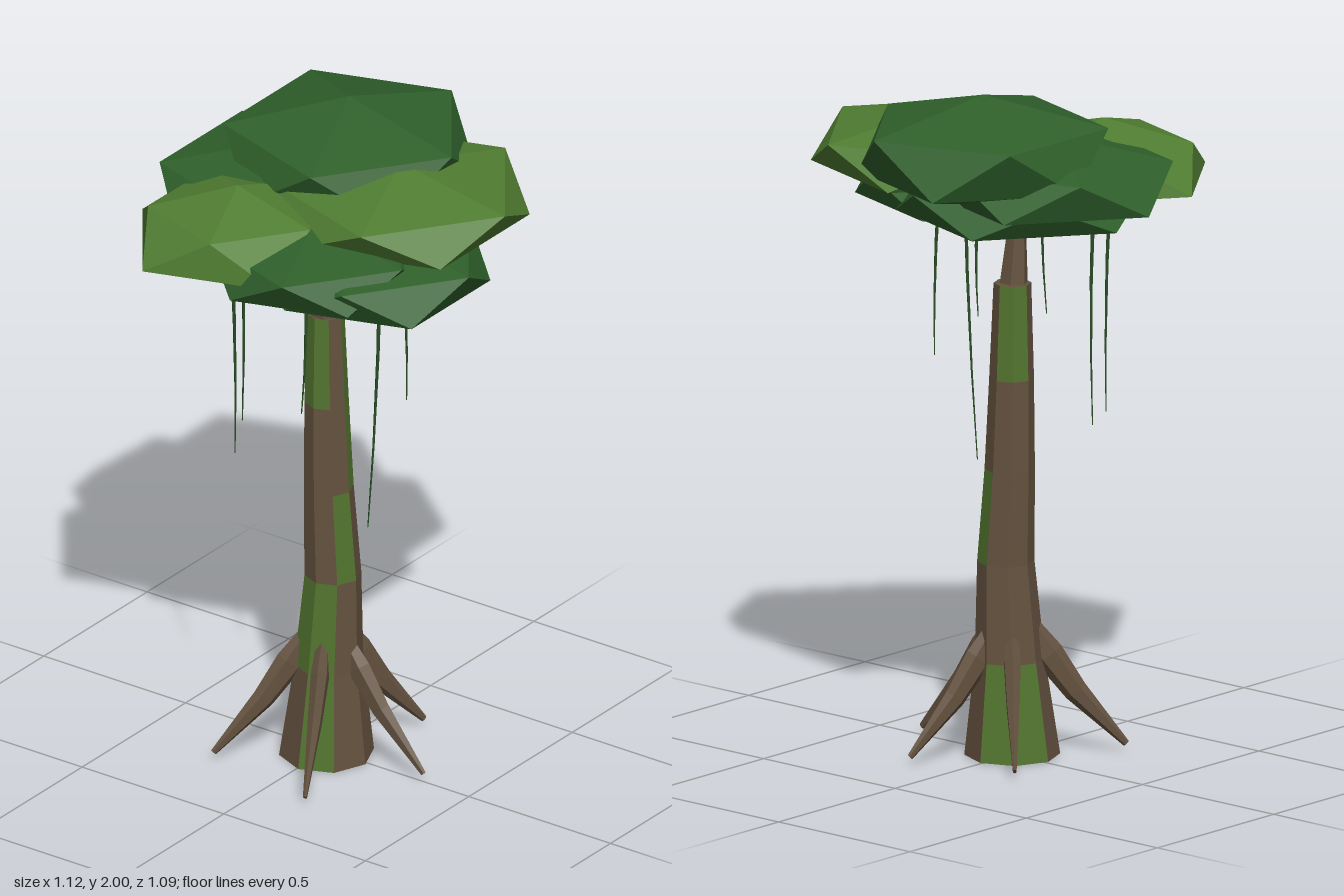
import * as THREE from 'three';

const TAU = Math.PI * 2;
const V = (x, y, z) => new THREE.Vector3(x, y, z);

const paint = (name, color) => {
  const m = new THREE.MeshStandardMaterial({ color });
  m.name = name;
  return m;
};

// Faceted geometry from a list of triangle corners
function faceted(points) {
  const g = new THREE.BufferGeometry().setFromPoints(points);
  g.computeVertexNormals();
  return g;
}

// Ring of n points; u x v must point against the direction of travel
function ring(c, u, v, n) {
  return Array.from({ length: n }, (_, k) => {
    const a = (k / n) * TAU;
    return c.clone().addScaledVector(u, Math.cos(a)).addScaledVector(v, Math.sin(a));
  });
}
const flatRing = (x, y, z, r, n) => ring(V(x, y, z), V(r, 0, 0), V(0, 0, r), n);

// Skin over a row of rings, closed at both ends (side quads first)
function loft(rings) {
  const pts = [], n = rings[0].length, last = rings[rings.length - 1];
  for (let i = 0; i < rings.length - 1; i++) {
    for (let k = 0; k < n; k++) {
      const j = (k + 1) % n, a = rings[i], b = rings[i + 1];
      pts.push(a[k], b[k], b[j], a[k], b[j], a[j]);
    }
  }
  for (let k = 1; k < n - 1; k++) {
    pts.push(rings[0][0], rings[0][k], rings[0][k + 1]);
    pts.push(last[0], last[k + 1], last[k]);
  }
  return faceted(pts);
}

// Flattened icosahedron standing on its point
function leafClump(x, y, z, h, upper, lower) {
  const U = flatRing(x, y + h * 0.447, z, upper, 5);
  const L = U.map((_, k) => {
    const a = ((k + 0.5) / 5) * TAU;
    return V(x + lower * Math.cos(a), y - h * 0.447, z + lower * Math.sin(a));
  });
  const top = V(x, y + h, z), bottom = V(x, y - h, z), pts = [];
  for (let k = 0; k < 5; k++) {
    const j = (k + 1) % 5;
    pts.push(top, U[j], U[k], U[k], U[j], L[k], U[j], L[j], L[k], L[k], L[j], bottom);
  }
  return faceted(pts);
}

export function createModel() {
  const bark = paint('bark', 0x64523f);
  const moss = paint('moss', 0x53752f);
  const leafDark = paint('darkLeaves', 0x2f602b);
  const leafLight = paint('lightLeaves', 0x507d32);
  const vineGreen = paint('vine', 0x264a22);

  const tree = new THREE.Group();
  tree.name = 'tree';
  const add = (name, geometry, material, parent = tree) => {
    const mesh = new THREE.Mesh(geometry, material);
    mesh.name = name;
    parent.add(mesh);
    return mesh;
  };
  const section = (name) => {
    const g = new THREE.Group();
    g.name = name;
    tree.add(g);
    return g;
  };

  // Eight-sided trunk: x, y, z, radius
  const trunkGeo = loft([
    [0.005, 0.005, 0.01, 0.137], [0.008, 0.29, 0.003, 0.1], [0.018, 0.575, -0.003, 0.082],
    [0.004, 0.85, -0.002, 0.072], [-0.004, 1.12, -0.003, 0.064], [-0.008, 1.4, -0.004, 0.054],
  ].map((r) => flatRing(...r, 8)));
  // Mossy sides on each storey of the trunk
  const mossy = [[1, 4, 5], [1, 2], [0, 6], [7], [1, 2, 4, 5, 7]];
  mossy.forEach((sides, i) => {
    for (let k = 0; k < 8; k++) {
      trunkGeo.addGroup((i * 8 + k) * 6, 6, sides.includes(k) ? 1 : 0);
    }
  });
  trunkGeo.addGroup(240, 36, 0);
  add('trunk', trunkGeo, [bark, moss]);

  // Upper stem running into the leaves
  add('upperStem', loft([
    flatRing(-0.006, 1.39, 0.003, 0.043, 6),
    flatRing(-0.012, 1.58, 0.012, 0.026, 6),
    flatRing(-0.02, 1.7, 0.015, 0.02, 6),
  ]), bark);

  // Buttress roots: tapering blades bending out to the ground
  const rootPath = [[0.05, 0.39, 0.03], [0.11, 0.3, 0.045], [0.19, 0.19, 0.035], [0.34, 0.03, 0.01]];
  const rootGeo = loft(rootPath.map(([x, y, r], i) => {
    const a = rootPath[Math.max(i - 1, 0)], b = rootPath[Math.min(i + 1, 3)];
    const t = V(b[0] - a[0], b[1] - a[1], 0).normalize();
    return ring(V(x, y, 0), V(-t.y * r, t.x * r, 0), V(0, 0, -r * 0.6), 6);
  }));
  const roots = section('roots');
  [[0.35, 0], [0.16, 0.33], [-0.23, 0.25], [-0.2, -0.21], [0.14, -0.29]].forEach(([x, z]) => {
    const root = add('root', rootGeo, bark, roots);
    root.rotation.y = -Math.atan2(z, x);
    root.scale.x = Math.hypot(x, z) / 0.35;
  });

  // Leaf clumps: x, y, z, half height, upper and lower ring radius
  const canopy = section('canopy');
  [
    ['topClump', leafDark, -0.06, 1.838, -0.19, 0.162, 0.36, 0.36],
    ['sideClumpLeft', leafLight, 0.19, 1.787, -0.095, 0.115, 0.368, 0.368],
    ['frontClump', leafLight, -0.145, 1.742, 0.235, 0.122, 0.255, 0.335],
    ['sideClumpRight', leafDark, -0.2, 1.752, -0.04, 0.125, 0.34, 0.36],
    ['frontLowClump', leafDark, 0.1, 1.69, 0.195, 0.11, 0.305, 0.3],
    ['lowClumpLeft', leafDark, 0.225, 1.655, 0.07, 0.117, 0.325, 0.325],
    ['lowClumpMiddle', leafDark, -0.05, 1.665, -0.01, 0.107, 0.36, 0.36],
  ].forEach(([name, material, ...size]) => add(name, leafClump(...size), material, canopy));

  // Hanging vines: x, z, lower end, sideways drift
  const vines = section('vines');
  [
    [-0.26, 0.06, 1.01, 0.008, 0.005], [-0.165, 0.24, 1.0, 0.006, -0.012],
    [0.11, 0.255, 1.23, 0.006, 0.028], [0.235, 0.065, 0.82, -0.022, 0.03],
    [0.21, -0.07, 1.16, 0.015, -0.006], [-0.06, -0.21, 1.35, 0, 0],
  ].forEach(([x, z, end, dx, dz]) => {
    const rings = [0, 0.35, 0.7, 1].map((t) => flatRing(
      x + dx * t + 0.008 * Math.sin(t * Math.PI), 1.67 + (end - 1.67) * t, z + dz * t,
      0.008 - 0.006 * t, 4));
    add('vine', loft(rings.reverse()), vineGreen, vines);
  });

  return tree;
}
